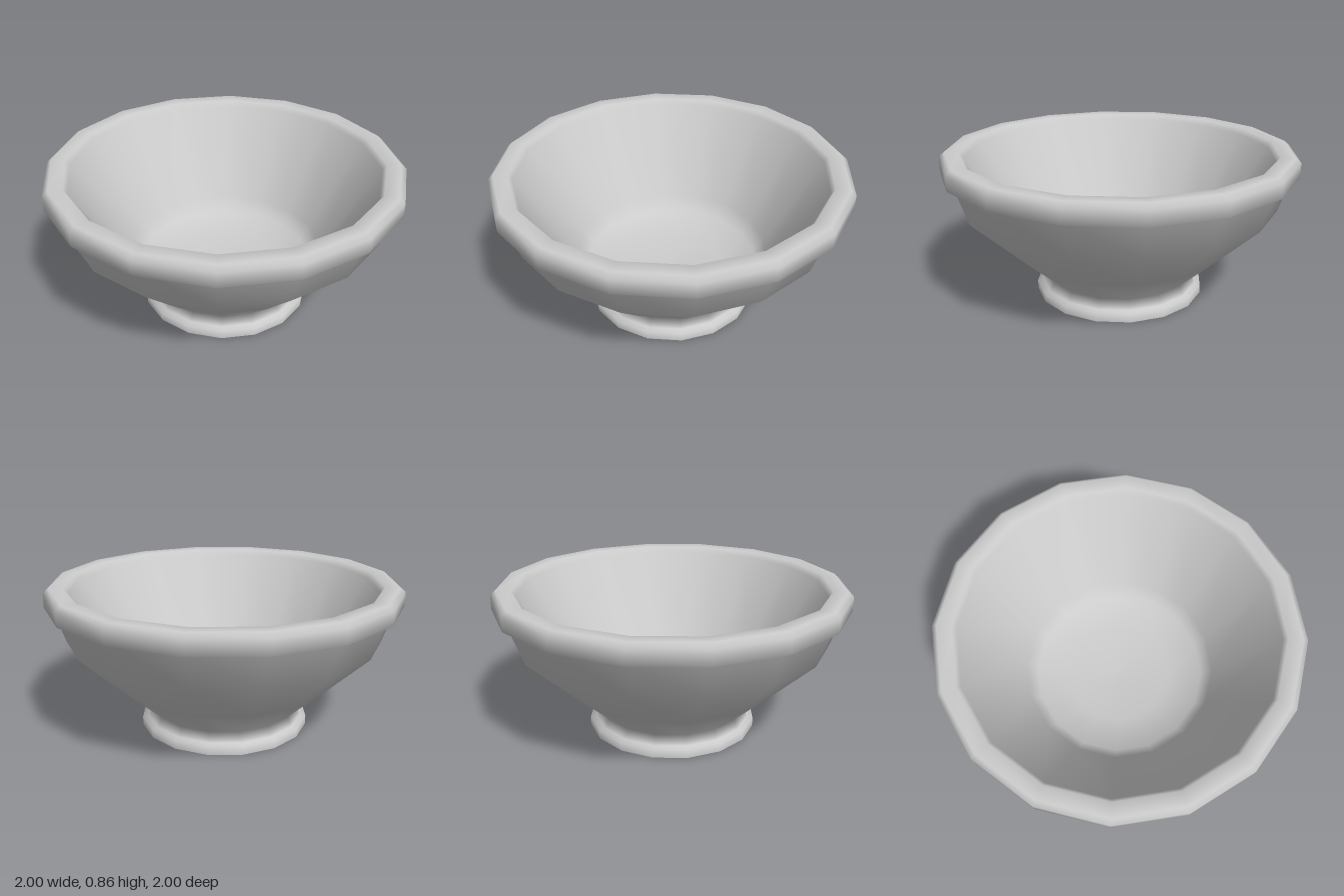
import * as THREE from 'three';

const SIDES = 16;

export function createModel() {
  const bowl = new THREE.Group();
  bowl.name = 'bowl';
  const material = new THREE.MeshStandardMaterial({ color: 0xcccccc });

  // Turn a [radius, height] profile around the y axis
  function turned(name, profile) {
    const points = profile.map(([r, y]) => new THREE.Vector2(r, y));
    const mesh = new THREE.Mesh(new THREE.LatheGeometry(points, SIDES), material);
    mesh.name = name;
    bowl.add(mesh);
  }

  // Flat underside
  turned('base', [[0, 0], [0.49, 0]]);

  // One smooth skin from the foot, over the rim and down into the hollow
  turned('body', [
    // foot ring and narrow neck
    [0.49, 0], [0.49, 0.05], [0.455, 0.055], [0.43, 0.11],
    // flaring outer wall, steeper above the shoulder
    [0.62, 0.285], [0.895, 0.55], [0.96, 0.75],
    // overhanging rim with bevelled edges
    [1, 0.75], [1, 0.83], [0.97, 0.855], [0.89, 0.853],
    // conical inner wall, closing to a shallow floor
    [0.87, 0.82], [0.56, 0.31], [0.5, 0.23], [0.3, 0.17], [0, 0.16],
  ]);

  return bowl;
}
